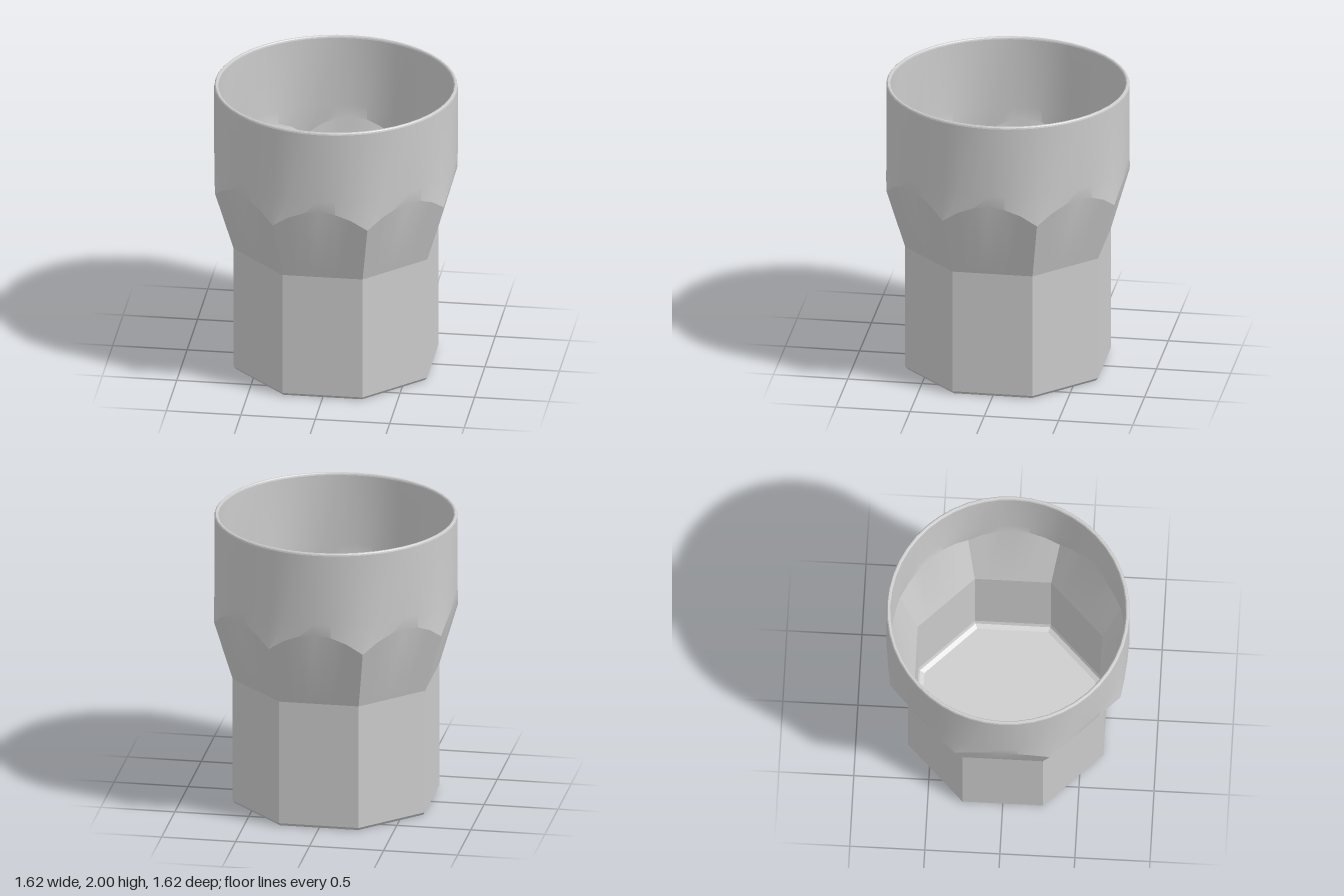
import * as THREE from 'three';
import { toCreasedNormals } from 'three/addons/utils/BufferGeometryUtils.js';

const SIDES = 8, PER_SIDE = 6, COLS = SIDES * PER_SIDE;
const HALF = Math.PI / SIDES;

// A row gives [radius, height] for an angle measured from the middle of its flat side.
const round = (r, y) => () => [r, y];
const octagon = (apothem, y) => (phi) => [apothem / Math.cos(phi), y];

// Scalloped line where the flared flats run into the round upper wall.
const scallop = (gap, peak, dip) => (phi) => {
  const y = peak - dip * (phi / HALF) ** 2;
  const apothem = 0.65 + 0.16 * (y - 0.88) / 0.56;
  return [apothem / Math.cos(phi) - gap, y];
};

// Joins successive rows, each a closed ring around the y axis, with quads.
function loft(rows) {
  const positions = [], indices = [];
  rows.forEach((row, i) => {
    for (let j = 0; j <= COLS; j++) {
      const phi = ((j + PER_SIDE / 2) % PER_SIDE - PER_SIDE / 2) / PER_SIDE * 2 * HALF;
      const theta = (j % COLS) / COLS * Math.PI * 2;
      const [r, y] = row(phi);
      positions.push(r * Math.sin(theta), y, r * Math.cos(theta));
      if (i === 0 || j === COLS) continue;
      const a = (i - 1) * (COLS + 1) + j, d = a + COLS + 1;
      if (rows[i - 1](0)[0] > 0) indices.push(a, a + 1, d + 1);
      if (r > 0) indices.push(a, d + 1, d);
    }
  });
  const geometry = new THREE.BufferGeometry();
  geometry.setAttribute('position', new THREE.Float32BufferAttribute(positions, 3));
  geometry.setIndex(indices);
  return toCreasedNormals(geometry, 0.25);
}

export function createModel() {
  const group = new THREE.Group();
  group.name = 'tumbler';
  const material = new THREE.MeshStandardMaterial({ color: 0xcccccc });
  const add = (name, rows) => {
    const mesh = new THREE.Mesh(loft(rows), material);
    mesh.name = name;
    group.add(mesh);
  };

  // Flat octagonal underside with a small bevel
  add('base', [round(0, 0), octagon(0.635, 0), octagon(0.65, 0.02)]);

  // Straight octagonal foot, flared flats, then the round upper wall
  add('outerWall', [
    octagon(0.65, 0.02), octagon(0.65, 0.88),
    scallop(0, 1.42, 0.13), round(0.81, 1.5), round(0.81, 1.985),
  ]);

  // Softly rounded lip
  add('rim', [
    round(0.81, 1.985), round(0.807, 1.994), round(0.801, 2),
    round(0.791, 2), round(0.785, 1.994), round(0.782, 1.985),
  ]);

  // Inside follows the outside and ends in a filleted octagonal floor
  add('innerWall', [
    round(0.782, 1.985), round(0.78, 1.5), scallop(0.032, 1.42, 0.13),
    octagon(0.615, 0.88), octagon(0.61, 0.08),
    octagon(0.6, 0.055), octagon(0.57, 0.04), round(0, 0.04),
  ]);

  return group;
}
